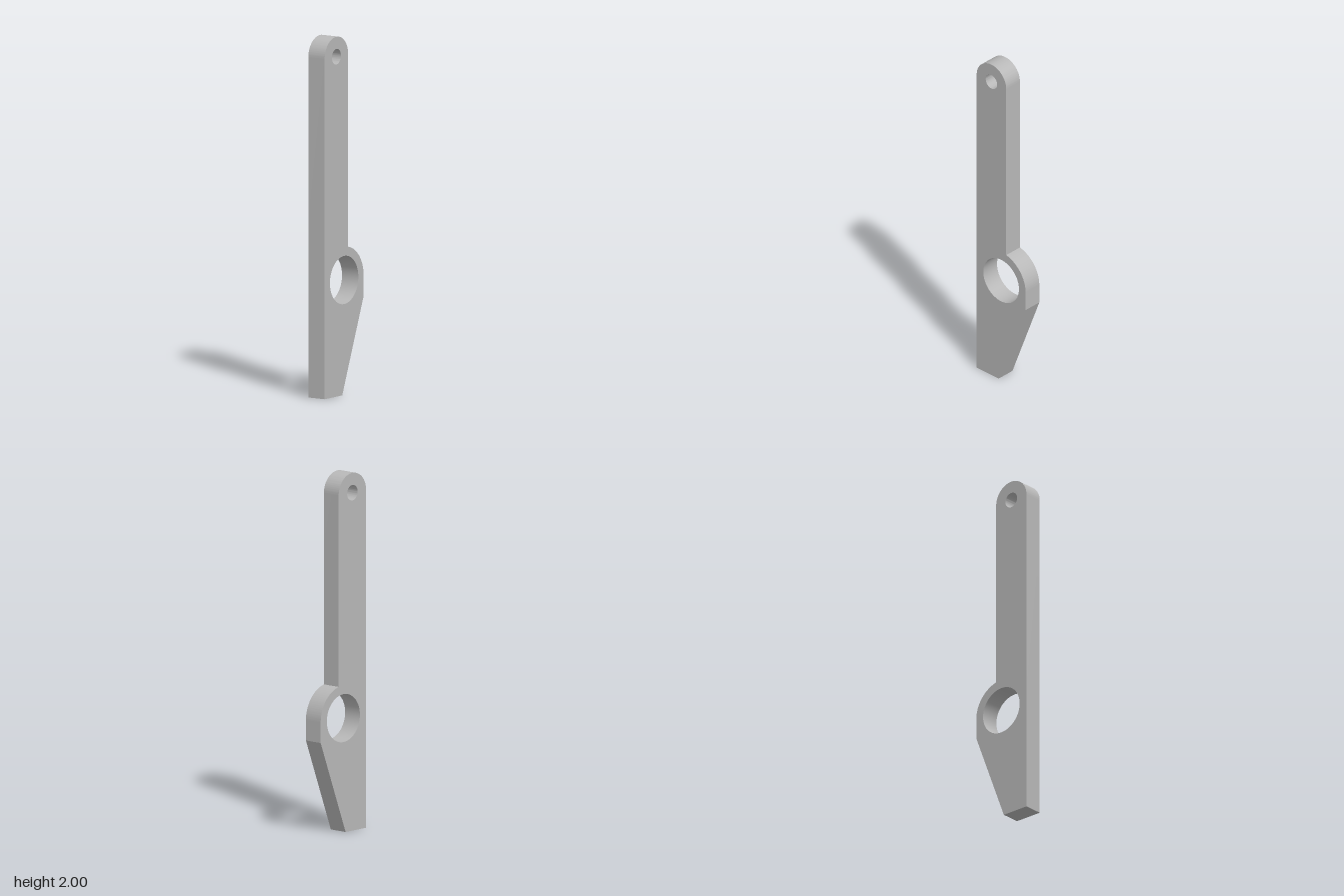
import * as THREE from 'three';
import { toCreasedNormals } from 'three/addons/utils/BufferGeometryUtils.js';

const DEPTH = 0.11;
const HALF_WIDTH = 0.184;
const BOSS = { x: 0, y: 0.639, r: HALF_WIDTH, hole: 0.134 };
const TIP = { x: -0.073, y: 1.889, r: 0.111, hole: 0.043 };

function circularHole({ x, y, hole }) {
  return new THREE.Path().absarc(x, y, hole, 0, Math.PI * 2, true);
}

export function createModel() {
  const group = new THREE.Group();
  group.name = 'leverArm';

  const grey = new THREE.MeshStandardMaterial({ color: 0xb8b8b8 });
  grey.name = 'plain grey';

  // Outline: tapered foot, round boss on one side, long arm with a rounded tip
  const outline = new THREE.Shape();
  outline.moveTo(-HALF_WIDTH, 0);
  outline.lineTo(-0.018, 0);
  outline.lineTo(HALF_WIDTH, 0.526);
  const armEdge = TIP.x + TIP.r;
  outline.absarc(BOSS.x, BOSS.y, BOSS.r, 0, Math.acos((armEdge - BOSS.x) / BOSS.r), false);
  outline.absarc(TIP.x, TIP.y, TIP.r, 0, Math.PI, false);
  outline.closePath();

  // Large bore through the boss, small pin hole at the tip
  outline.holes.push(circularHole(BOSS), circularHole(TIP));

  const geometry = new THREE.ExtrudeGeometry(outline, {
    depth: DEPTH, bevelEnabled: false, curveSegments: 32,
  });
  geometry.translate(0, 0, -DEPTH / 2);

  const plate = new THREE.Mesh(toCreasedNormals(geometry, 0.3), grey);
  plate.name = 'leverPlate';
  group.add(plate);
  return group;
}
